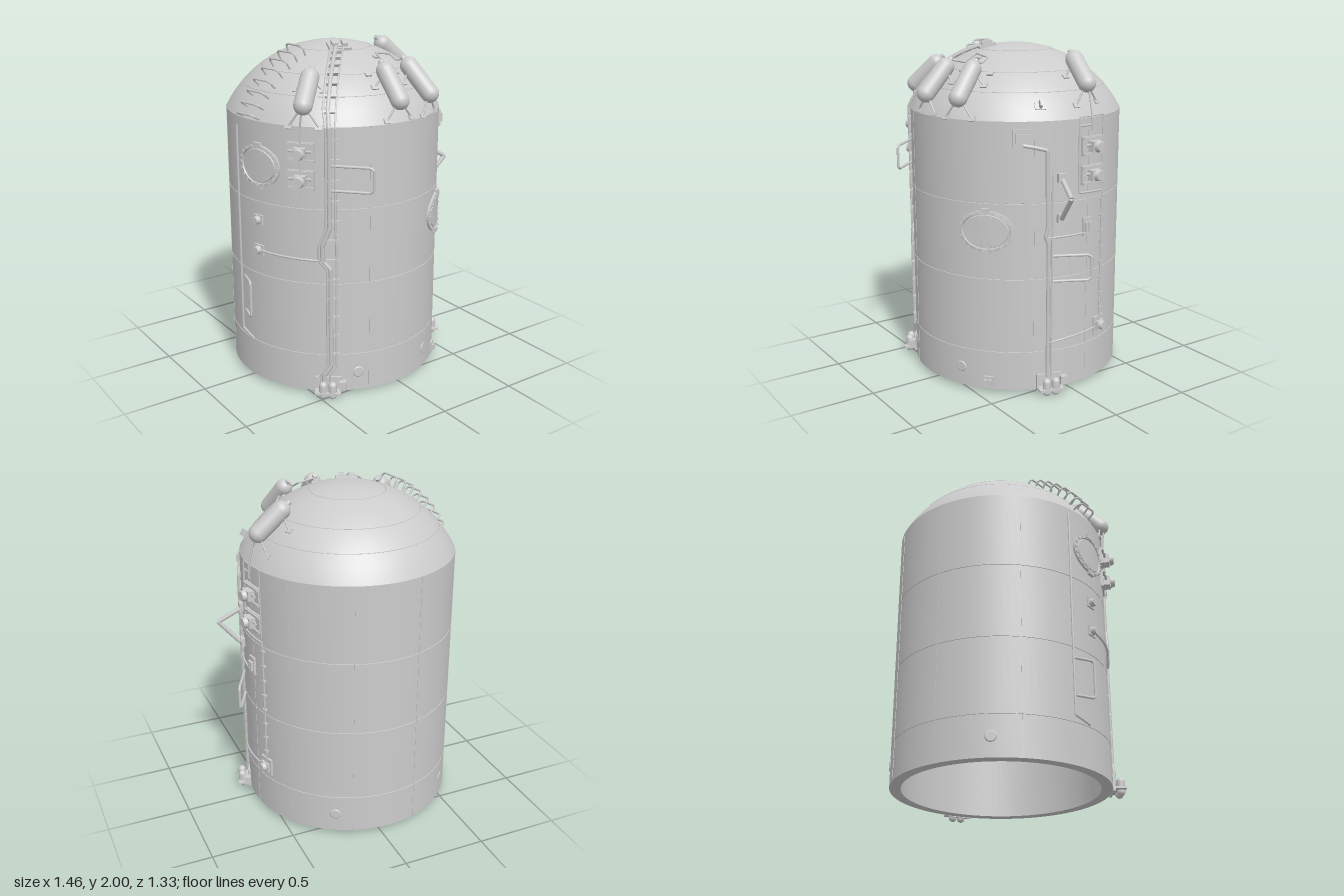
import * as THREE from 'three';
import { toCreasedNormals } from 'three/addons/utils/BufferGeometryUtils.js';

const R = 0.63, CX = -0.055, CZ = -0.035, RD = 0.712, YD = 1.268; // wall radius, axis, dome sphere
const rad = THREE.MathUtils.degToRad;
const mat = new THREE.MeshStandardMaterial({ color: 0xcccccc, side: THREE.DoubleSide });
const V = (x, y, z) => new THREE.Vector3(x - CX, y, z - CZ);

// Point on the wall (angle from the front towards +x) and point on the dome above (x, z)
const wallPoint = (deg, y, off = 0) =>
  new THREE.Vector3((R + off) * Math.sin(rad(deg)), y, (R + off) * Math.cos(rad(deg)));
function domePoint(x, z, off = 0) {
  const p = V(x, 0, z), h = Math.min(Math.hypot(p.x, p.z), R);
  p.y = Math.sqrt(RD * RD - h * h);
  return p.setLength(RD + off).add(new THREE.Vector3(0, YD, 0));
}

export function createModel() {
  const root = new THREE.Group();
  const body = new THREE.Group();
  body.name = 'capsule';
  body.position.set(CX, 0, CZ);
  root.add(body);

  const add = (geo, name, parent = body) => {
    const m = new THREE.Mesh(geo, mat);
    m.name = name;
    parent.add(m);
    return m;
  };
  const box = (w, h, d, name, parent, x = 0, y = 0, z = 0) => {
    const m = add(new THREE.BoxGeometry(w, h, d), name, parent);
    m.position.set(x, y, z);
    return m;
  };
  const group = (name, pos) => {
    const g = new THREE.Group();
    g.name = name;
    g.position.copy(pos);
    body.add(g);
    return g;
  };
  // Group on the wall: local z points outwards
  const onWall = (name, deg, y, off = 0) => {
    const g = group(name, wallPoint(deg, y, off));
    g.rotation.y = rad(deg);
    return g;
  };
  // Group on the dome: local z points outwards, y up the slope
  const onDome = (name, x, z, off = 0) => {
    const p = domePoint(x, z, off), g = group(name, p);
    const n = p.clone().setY(p.y - YD).normalize();
    const side = new THREE.Vector3(0, 1, 0).cross(n).normalize();
    g.quaternion.setFromRotationMatrix(new THREE.Matrix4().makeBasis(side, n.clone().cross(side), n));
    return g;
  };
  const pipe = (name, pts, r = 0.006, parent = body, sides = 6) => {
    const path = new THREE.CurvePath();
    for (let i = 1; i < pts.length; i++) path.add(new THREE.LineCurve3(pts[i - 1], pts[i]));
    return add(new THREE.TubeGeometry(path, Math.max(12, Math.ceil(path.getLength() / 0.012)), r, sides), name, parent);
  };
  // Pipe hugging the wall through [angle, y] stops
  const wallPipe = (name, stops, r = 0.006, off = 0.01) => {
    const pts = [wallPoint(...stops[0], off)];
    for (let i = 1; i < stops.length; i++) {
      const [a, y] = stops[i - 1], [b, v] = stops[i], n = Math.ceil(Math.abs(b - a) / 4) || 1;
      for (let k = 1; k <= n; k++) pts.push(wallPoint(a + (b - a) * k / n, y + (v - y) * k / n, off));
    }
    return pipe(name, pts, r);
  };
  const knob = (name, parent, x, y, z, r, h) => {
    const m = add(new THREE.CylinderGeometry(r * 0.8, r, h, 16), name, parent);
    m.rotation.x = Math.PI / 2;
    m.position.set(x, y, z);
  };

  // Hull: inner bulkhead, open skirt, wall with shallow seams and dome
  const prof = [[0, 0.59], [0.566, 0.59], [0.566, 0.025], [R, 0.025]];
  for (const y of [0.26, 0.7, 1.14])
    prof.push([R, y - 0.003], [R - 0.003, y - 0.002], [R - 0.003, y + 0.002], [R, y + 0.003]);
  const a0 = Math.asin(R / RD);
  for (let i = 0; i <= 24; i++) {
    const a = a0 * (1 - i / 24);
    prof.push([RD * Math.sin(a), YD + RD * Math.cos(a)]);
  }
  add(toCreasedNormals(new THREE.LatheGeometry(prof.map(p => new THREE.Vector2(...p)), 96), 0.4), 'hull');
  for (const r of [0.53, 0.42, 0.22]) {
    const ring = add(new THREE.TorusGeometry(r, 0.002, 4, 96), 'domeSeam');
    ring.rotation.x = Math.PI / 2;
    ring.position.y = YD + Math.sqrt(RD * RD - r * r);
  }
  for (const a of [-60, -15, 30, 66, 97, 125, 160, -164, -120])
    box(0.005, 1.57, 0.004, 'wallSeam', onWall('wallSeamMount', a, 0.815));
  for (const a of [-21, 26, 150, -135]) knob('skirtPlug', onWall('skirtPort', a, 0.14), 0, 0, 0.001, 0.035, 0.006);

  // Oval hatches bent around the wall
  const bend = geo => {
    const p = geo.attributes.position;
    for (let i = 0; i < p.count; i++) {
      const t = p.getX(i) / R, r = R + p.getZ(i);
      p.setXYZ(i, r * Math.sin(t), p.getY(i), r * Math.cos(t));
    }
    geo.computeVertexNormals();
    return toCreasedNormals(geo, 0.5);
  };
  const hatch = (deg, y, rx, ry) => {
    const g = group('hatch', new THREE.Vector3(0, y, 0));
    g.rotation.y = rad(deg);
    const pts = [[1, -0.01], [1, 0.012], [0.86, 0.015], [0.84, 0.006], [0.8, 0.006], [0.78, 0.013], [0.4, 0.013], [0, 0.013]];
    const geo = new THREE.LatheGeometry(pts.map(p => new THREE.Vector2(...p)), 48).rotateX(Math.PI / 2).scale(rx, ry, 1);
    add(bend(geo), 'hatchCover', g);
    for (let i = 0; i < 20; i++) {
      const a = i * Math.PI / 10;
      const lug = new THREE.BoxGeometry(0.012, 0.012, 0.012).translate(rx * 0.93 * Math.cos(a), ry * 0.93 * Math.sin(a), 0.015);
      add(bend(lug), 'hatchBolt', g);
    }
    for (const s of [-1, 1]) add(bend(new THREE.BoxGeometry(0.05, 0.025, 0.02).translate(0, s * ry, 0.008)), 'hatchLatch', g);
  };
  hatch(41, 0.98, 0.165, 0.12);
  hatch(-75, 1.35, 0.15, 0.12);

  // Ladder rungs climbing the dome
  for (const x of [-0.33, -0.39, -0.445, -0.5, -0.555, -0.6, -0.64, -0.67]) {
    const g = onDome('rung', x, CZ - (x - CX) * 0.17);
    pipe('rungBar', [[-0.07, 0], [-0.07, 0.045], [-0.055, 0.06], [0.055, 0.06], [0.07, 0.045], [0.07, 0]]
      .map(p => new THREE.Vector3(p[0], 0, p[1])), 0.006, g);
  }

  // Gas tanks with strapped feet: upper end, lower end
  const tank = (a, b) => {
    const dir = a.clone().sub(b), len = dir.length(), r = 0.052;
    const g = group('tank', a.clone().add(b).multiplyScalar(0.5));
    g.quaternion.setFromUnitVectors(new THREE.Vector3(0, 1, 0), dir.normalize());
    add(new THREE.CapsuleGeometry(r, len - 2 * r, 8, 24), 'tankShell', g);
    const neck = add(new THREE.CylinderGeometry(0.014, 0.018, 0.03, 12), 'tankNeck', g);
    neck.position.y = len / 2;
    const side = new THREE.Vector3(a.z + b.z, 0, -a.x - b.x).normalize();
    for (const [t, spread] of [[0.82, 0.075], [0.2, 0.085]]) for (const s of [-1, 1]) {
      const p = b.clone().lerp(a, t), q = p.clone().addScaledVector(side, s * spread);
      q.y = 0;
      const foot = onDome('tankFoot', q.x + CX, q.z + CZ, 0.003);
      box(0.04, 0.03, 0.01, 'footPlate', foot);
      pipe('tankStrut', [p, foot.position.clone()], 0.006);
    }
  };
  tank(V(-0.04, 1.9, 0.42), V(-0.035, 1.68, 0.62));
  tank(V(0.155, 1.9, 0.37), V(0.235, 1.68, 0.56));
  tank(V(-0.4, 1.88, 0.27), V(-0.56, 1.68, 0.41));
  tank(V(0.35, 1.94, -0.145), V(0.56, 1.75, -0.125));
  pipe('tankLink', [V(-0.04, 1.9, 0.42), domePoint(-0.03, 0.36, 0.04), domePoint(0.02, 0.35, 0.03), domePoint(0.02, 0.27, 0.03),
    domePoint(0.12, 0.26, 0.03), domePoint(0.13, 0.31, 0.03), V(0.155, 1.9, 0.37)], 0.006);
  for (const [x, z] of [[-0.11, 0.39], [0.03, 0.38], [0.09, 0.38], [0.21, 0.31], [0.03, 0.27]])
    box(0.035, 0.025, 0.012, 'pipeClip', onDome('pipeClipMount', x, z, 0.004));

  // Valve modules in pairs beside the tanks
  const valve = (deg, y, w) => {
    const g = onWall('valveModule', deg, y);
    box(w, 0.11, 0.02, 'valvePlate', g);
    for (const s of [-1, 1]) box(w, 0.014, 0.03, 'valveRail', g, 0, s * 0.045, 0.006);
    box(w * 0.45, 0.06, 0.05, 'valveBlock', g, 0, 0, 0.025);
    knob('valveWheel', g, 0, 0, 0.065, 0.034, 0.024);
    pipe('valveFeed', [[-0.45, 0.01], [0.45, 0.01]].map(p => new THREE.Vector3(p[0] * w, p[1], 0.025)), 0.008, g);
  };
  for (const y of [1.44, 1.275]) valve(99, y, 0.16);
  for (const y of [1.46, 1.305]) valve(-50, y, 0.15);
  pipe('tankFeed', [V(0.55, 1.74, -0.125), wallPoint(98, 1.6, 0.015), wallPoint(98, 1.53, 0.015)], 0.006);
  pipe('tankFeed', [V(-0.55, 1.7, 0.4), wallPoint(-50, 1.6, 0.015), wallPoint(-50, 1.2, 0.015)], 0.006);

  // Right-hand service lines
  wallPipe('serviceLine', [[98, 1.56], [90, 1.56], [90, 1.18], [107.5, 1.17], [107.5, 0.37]], 0.006);
  wallPipe('frameLine', [[90, 1.5], [90, 1.61], [107, 1.61], [107, 1.2]], 0.004);
  for (let i = 0; i < 8; i++) box(0.025, 0.012, 0.02, 'lineClip', onWall('lineClipMount', 107.5, 0.45 + i * 0.095, 0.008));
  wallPipe('mainConduit', [[60, 1.47], [65, 1.46], [72, 1.44], [72.5, 1], [71.5, 0.95], [73, 0.9], [73, 0.1]], 0.011, 0.012);
  wallPipe('thinConduit', [[75, 1.3], [75, 0.1]], 0.006, 0.01);
  wallPipe('branchCable', [[73, 0.94], [95, 0.94]], 0.006);
  wallPipe('branchCable', [[73, 0.31], [85, 0.325], [106, 0.34]], 0.006);

  // Front-left conduit: wall run, dome run and end plate
  for (const [d, r] of [[0, 0.013], [-1.7, 0.008], [2.8, 0.006]]) {
    const kink = d > 2 ? 0 : 1;
    wallPipe('frontConduit', [[-39 + d, 0.08], [-39 + d, 0.13], [-35.5 + d, 0.19], [-35.5 + d, 0.79], [-35.5 - 4 * kink + d, 0.84],
      [-35.5 - 4 * kink + d, 0.93], [-36 + d, 1.03], [-36 + d, 1.6]], r, 0.014);
    const run = [wallPoint(-36 + d, 1.59, 0.014)], k = d * 0.011;
    for (let i = 1; i <= 14; i++) {
      const t = i / 14;
      run.push(domePoint(-0.425 + 0.3 * t + k, 0.455 - 0.345 * t + k * 0.9, 0.014));
    }
    pipe('domeConduit', run, r);
  }
  for (let i = 0; i < 12; i++) box(0.075, 0.012, 0.02, 'conduitClip', onWall('conduitClipMount', -34.5, 0.27 + i * 0.115, 0.008));
  for (let i = 0; i < 8; i++) {
    const t = (i + 0.5) / 8;
    box(0.07, 0.015, 0.025, 'conduitClip', onDome('domeClipMount', -0.42 + 0.3 * t, 0.46 - 0.34 * t, 0.008));
  }
  const end = onDome('conduitEnd', -0.12, 0.125, 0.006);
  box(0.13, 0.1, 0.015, 'endPlate', end);
  for (const x of [-0.03, 0.03]) box(0.03, 0.06, 0.03, 'endPlug', end, x, 0, 0.012);

  // Base brackets with paired cups
  for (const a of [-37, 74]) {
    const g = onWall('baseBracket', a, 0.06);
    box(0.15, 0.012, 0.08, 'bracketShelf', g, 0, -0.02, 0.035);
    box(0.15, 0.1, 0.014, 'bracketPlate', g, 0, 0.01, 0.005);
    for (const x of [-0.027, 0.027]) {
      const cup = add(new THREE.CapsuleGeometry(0.024, 0.06, 6, 16), 'cup', g);
      cup.position.set(x, -0.005, 0.05);
    }
    box(0.04, 0.05, 0.04, 'bracketBox', g, 0.085, 0.015, 0.02);
  }

  // Hinged grab loops: wall end, swung-out end, low and high y
  const loop = (p, q, lo, hi) => pipe('grabLoop', [[p, lo], [q, lo, 0.9], [q, lo + 0.015], [q, hi - 0.015], [q, hi, 0.9], [p, hi]]
    .map(([e, y, t = 1]) => new THREE.Vector3(e[0] - CX, y, e[1] - CZ).lerp(new THREE.Vector3(p[0] - CX, y, p[1] - CZ), 1 - t)), 0.008, body, 8);
  loop([-0.42, 0.49], [-0.26, 0.66], 1.25, 1.39);
  loop([0.56, 0.12], [0.66, -0.08], 0.68, 0.83);
  loop([-0.68, -0.05], [-0.715, 0.08], 0.42, 0.64);

  // Side conduit with two valves and a cable to the front conduit
  wallPipe('sideConduit', [[-92, 1.55], [-92, 0.3], [-82, 0.27]], 0.007);
  for (const y of [1.03, 0.85]) {
    const g = onWall('sideValve', -76, y);
    box(0.07, 0.06, 0.02, 'valveBase', g);
    knob('valveKnob', g, 0, 0, 0.022, 0.026, 0.03);
  }
  wallPipe('sideCable', [[-76, 0.85], [-39, 0.84]], 0.007);

  // Folding arm on the right
  pipe('foldingArm', [V(0.56, 1.28, 0.07), V(0.71, 1.19, 0.11)], 0.014, body, 10);
  pipe('foldingArm', [V(0.71, 1.19, 0.11), V(0.59, 1.05, 0.085)], 0.014, body, 10);
  for (const y of [1.28, 1.05]) box(0.05, 0.05, 0.03, 'armMount', onWall('armMountBase', 80, y, 0.008));

  // Junction boxes: angle, y, width, height
  for (const [a, y, w, h] of [[60, 1.51, 0.12, 0.1], [96, 0.975, 0.06, 0.11], [107, 0.345, 0.095, 0.11], [42, 0.07, 0.06, 0.07]]) {
    const g = onWall('junctionBox', a, y);
    box(w, h, 0.024, 'boxPlate', g);
    for (const s of [-1, 1]) box(w * 0.3, h * 0.5, 0.03, 'boxSocket', g, s * w * 0.22, 0, 0.012);
  }
  knob('junctionKnob', onWall('junctionKnobMount', 107, 0.345), 0, 0, 0.035, 0.03, 0.03);
  const mount = onDome('domeBracket', 0.49, 0.17);
  box(0.06, 0.05, 0.012, 'bracketFoot', mount);
  box(0.012, 0.04, 0.04, 'bracketTab', mount, 0, 0, 0.02);
  return root;
}
